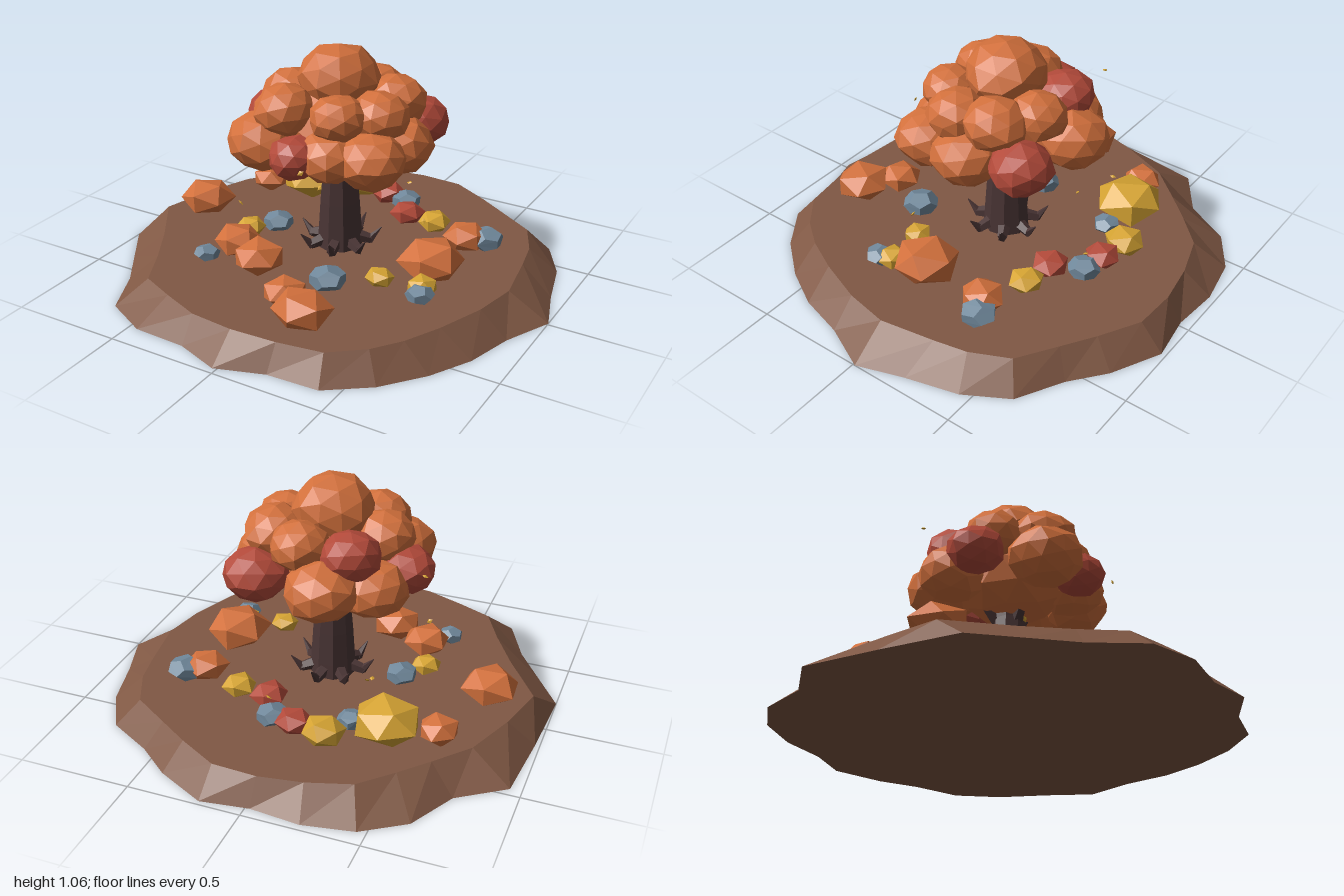
import * as THREE from 'three';

const mat = (color) => new THREE.MeshStandardMaterial({ color, flatShading: true });
const soil = mat(0x805844), bark = mat(0x4a3535);
const orange = mat(0xd2703c), red = mat(0xb34a3a), gold = mat(0xd6a433), slate = mat(0x70889b);

// Repeatable 0..1 value from a position and a seed
const hash = (x, y, z, s) => {
  const v = Math.sin(Math.round(x * 1000) * 0.127 + Math.round(y * 1000) * 0.311 + Math.round(z * 1000) * 0.747 + s * 1.73) * 4375.85;
  return v - Math.floor(v);
};

// Push every corner of a unit solid in or out by a repeatable amount
function roughen(geo, amount, seed) {
  const p = geo.attributes.position, v = new THREE.Vector3();
  for (let i = 0; i < p.count; i++) {
    v.fromBufferAttribute(p, i);
    v.multiplyScalar(1 - amount * hash(v.x, v.y, v.z, seed));
    p.setXYZ(i, v.x, v.y, v.z);
  }
  geo.computeVertexNormals();
  return geo;
}

function add(parent, name, geo, material, x = 0, y = 0, z = 0) {
  const mesh = new THREE.Mesh(geo, material);
  mesh.name = name;
  mesh.position.set(x, y, z);
  parent.add(mesh);
  return mesh;
}

// Ground slab: bottom outline x, z and top outline x, z
const RIM = [
  [0.19, -0.98, 0.18, -0.87], [0.41, -0.87, 0.36, -0.77], [0.56, -0.75, 0.5, -0.68],
  [0.76, -0.64, 0.67, -0.57], [0.87, -0.45, 0.75, -0.4], [0.93, -0.22, 0.78, -0.25],
  [1, -0.01, 0.82, 0], [0.9, 0.2, 0.78, 0.2], [0.84, 0.41, 0.7, 0.41],
  [0.74, 0.59, 0.62, 0.57], [0.6, 0.76, 0.53, 0.69], [0.42, 0.89, 0.39, 0.8],
  [0.19, 0.9, 0.19, 0.83], [-0.02, 0.97, -0.02, 0.84], [-0.22, 0.9, -0.22, 0.82],
  [-0.46, 0.89, -0.4, 0.75], [-0.66, 0.79, -0.56, 0.68], [-0.76, 0.57, -0.65, 0.5],
  [-0.88, 0.39, -0.76, 0.31], [-1, 0.21, -0.92, 0.07], [-0.98, -0.13, -0.86, -0.16],
  [-0.95, -0.46, -0.77, -0.39], [-0.75, -0.6, -0.64, -0.54], [-0.64, -0.81, -0.53, -0.66],
  [-0.46, -0.93, -0.4, -0.79], [-0.24, -0.97, -0.21, -0.85], [-0.02, -0.95, -0.02, -0.88],
];
const TOP = 0.11;

function groundGeometry() {
  const n = RIM.length, pos = [], idx = [];
  RIM.forEach(([x, z, ix, iz]) => pos.push(x, 0, z, ix, TOP, iz));
  pos.push(0, 0, 0, 0, TOP, 0);
  for (let i = 0; i < n; i++) {
    const a = 2 * i, a2 = 2 * ((i + 1) % n), b = a + 1, b2 = a2 + 1;
    idx.push(a2, a, b, a2, b, b2, 2 * n, a, a2, 2 * n + 1, b2, b);
  }
  const indexed = new THREE.BufferGeometry();
  indexed.setAttribute('position', new THREE.Float32BufferAttribute(pos, 3));
  indexed.setIndex(idx);
  const geo = indexed.toNonIndexed();
  geo.computeVertexNormals();
  return geo;
}

// Cone or tapered limb between two points
function limb(parent, name, from, to, r0, r1, sides) {
  const a = new THREE.Vector3(...from), b = new THREE.Vector3(...to);
  const d = b.clone().sub(a);
  const mesh = add(parent, name, new THREE.CylinderGeometry(r1, r0, d.length(), sides), bark);
  mesh.position.copy(a).add(b).multiplyScalar(0.5);
  mesh.quaternion.setFromUnitVectors(new THREE.Vector3(0, 1, 0), d.normalize());
}

// Foliage clumps: material, x, y, z, radius
const CLUMPS = [
  [orange, -0.02, 0.91, -0.02, 0.19],
  // upper ring
  [orange, 0.1, 0.81, 0.19, 0.13], [orange, -0.16, 0.8, 0.19, 0.15], [orange, -0.24, 0.8, 0, 0.15],
  [red, -0.17, 0.8, -0.22, 0.14], [orange, 0.05, 0.81, -0.23, 0.14], [orange, 0.2, 0.81, -0.13, 0.15],
  [orange, 0.22, 0.8, 0.06, 0.14],
  // lower ring
  [orange, 0.26, 0.65, -0.03, 0.17], [orange, 0.25, 0.65, 0.18, 0.16], [orange, 0.08, 0.65, 0.23, 0.15],
  [red, -0.04, 0.65, 0.31, 0.12], [orange, -0.24, 0.66, 0.23, 0.17], [red, -0.36, 0.69, -0.04, 0.13],
  [orange, -0.26, 0.65, -0.19, 0.16], [orange, -0.08, 0.67, -0.32, 0.17], [red, 0.23, 0.67, -0.28, 0.15],
  // inner filling
  [orange, -0.02, 0.7, 0, 0.27],
];

// Ground boulders: material, x, z, radius
const ROCKS = [
  [orange, -0.74, -0.01, 0.14], [orange, -0.62, -0.38, 0.1], [orange, 0.49, -0.28, 0.11],
  [orange, 0.48, 0.04, 0.16], [orange, 0.05, 0.55, 0.11], [orange, 0.2, 0.65, 0.14],
  [orange, -0.37, 0.27, 0.12], [orange, -0.2, 0.37, 0.13],
  [red, -0.04, -0.53, 0.09], [red, 0.14, -0.38, 0.09],
  [gold, -0.42, -0.44, 0.17], [gold, -0.18, -0.56, 0.1], [gold, 0.29, -0.36, 0.085],
  [gold, 0.51, 0.2, 0.075], [gold, 0.32, 0.22, 0.07], [gold, -0.42, 0.1, 0.075],
  [slate, 0.07, -0.51, 0.075], [slate, 0.57, -0.32, 0.085], [slate, 0.53, 0.26, 0.065],
  [slate, 0.14, 0.35, 0.085], [slate, -0.45, 0.4, 0.06], [slate, -0.25, -0.42, 0.065],
  [slate, -0.34, -0.01, 0.075],
];

// Drifting leaves: x, y, z
const LEAVES = [
  [-0.49, 0.765, -0.22], [0.465, 0.395, 0.11], [0.06, 0.645, 0.425], [-0.4, 0.31, 0.2],
  [-0.33, 0.345, -0.39], [0.08, 0.235, -0.52], [-0.26, 0.235, -0.25],
];

export function createModel() {
  const model = new THREE.Group();
  model.name = 'autumnTree';
  add(model, 'ground', groundGeometry(), soil);

  // Trunk with flared foot, pointed roots and hidden branches
  const tree = new THREE.Group();
  tree.name = 'trunk';
  model.add(tree);
  const trunk = new THREE.LatheGeometry(
    [[0.105, 0.1], [0.1, 0.18], [0.09, 0.33], [0.075, 0.5], [0.07, 0.68]].map((p) => new THREE.Vector2(...p)), 9);
  add(tree, 'stem', trunk, bark, -0.02, 0, -0.025);
  for (let i = 0; i < 7; i++) {
    const t = (i / 7) * Math.PI * 2 + 0.4, c = Math.cos(t), s = Math.sin(t);
    const at = (r, y) => [-0.02 + r * c, y, -0.025 + r * s];
    limb(tree, 'root', at(0.07, 0.15), at(0.145, 0.13), 0.032, 0.022, 5);
    limb(tree, 'rootTip', at(0.135, 0.125), at(0.19, 0.19), 0.022, 0.002, 5);
    if (i % 2 === 0) limb(tree, 'branch', at(0.02, 0.45), at(0.17, 0.65), 0.035, 0.02, 5);
  }

  const crown = new THREE.Group();
  crown.name = 'foliage';
  model.add(crown);
  CLUMPS.forEach(([m, x, y, z, r], i) => {
    const clump = add(crown, 'clump', roughen(new THREE.IcosahedronGeometry(1, 1), 0.1, i), m, x, y, z);
    clump.scale.set(r, r * 0.8, r);
    clump.rotation.y = i * 1.3;
  });

  const rocks = new THREE.Group();
  rocks.name = 'boulders';
  model.add(rocks);
  ROCKS.forEach(([m, x, z, r], i) => {
    const solid = m === slate ? new THREE.DodecahedronGeometry(1) : new THREE.IcosahedronGeometry(1);
    const rock = add(rocks, 'boulder', roughen(solid, m === slate ? 0.04 : 0.14, i), m, x, TOP + r * 0.46, z);
    rock.scale.set(r, r * 0.62, r);
    rock.rotation.y = i * 2.1;
  });

  // Thin four-cornered leaves
  LEAVES.forEach(([x, y, z], i) => {
    const leaf = add(model, 'leaf', new THREE.OctahedronGeometry(0.016), gold, x, y, z);
    leaf.scale.set(1, 0.3, 0.7);
    leaf.rotation.set(i * 0.7, i * 1.9, 0.3);
  });
  return model;
}
